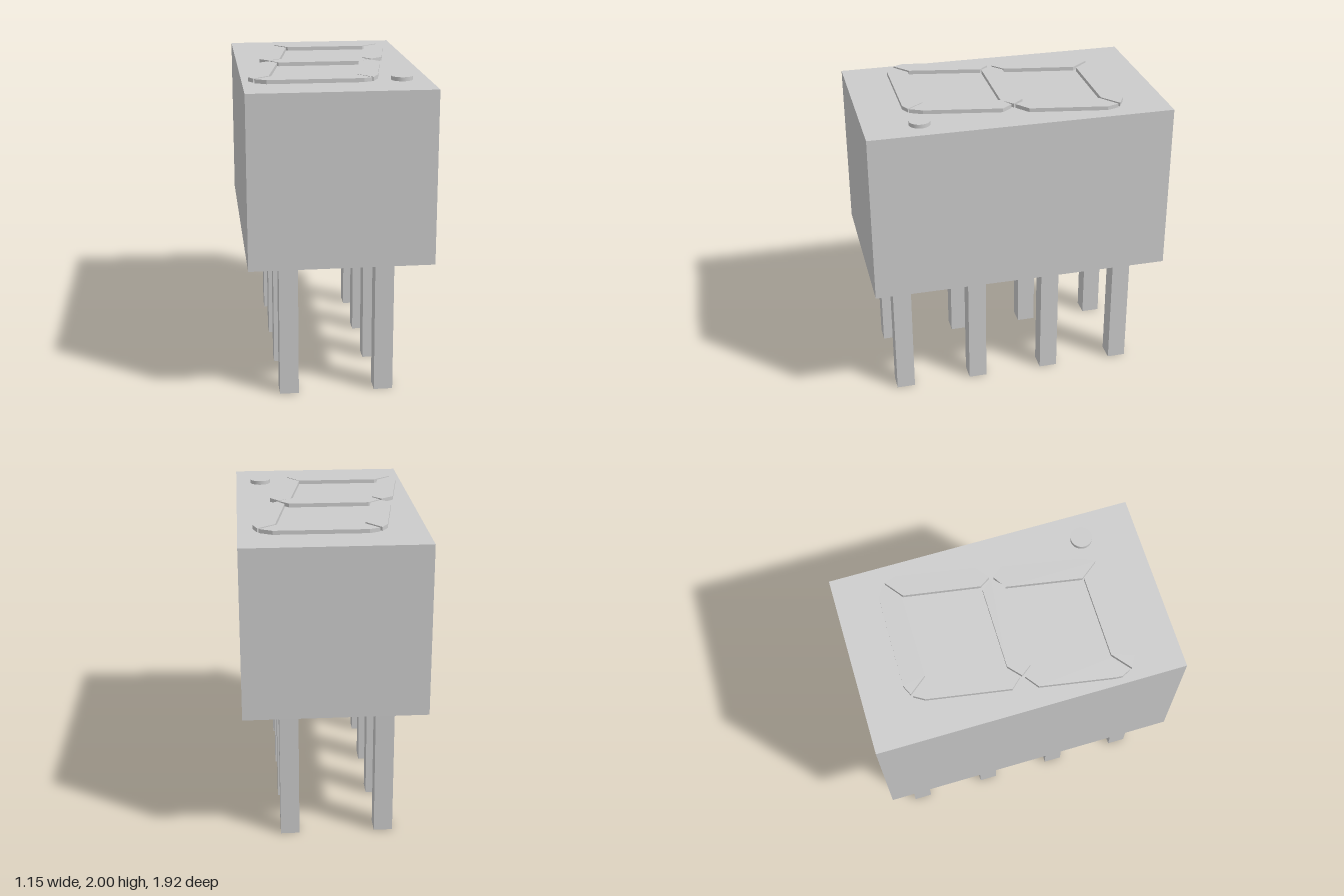
import * as THREE from 'three';

const material = new THREE.MeshStandardMaterial({ color: 0xcccccc });

function add(parent, name, geometry, x = 0, y = 0, z = 0) {
  const mesh = new THREE.Mesh(geometry, material);
  mesh.name = name;
  mesh.position.set(x, y, z);
  parent.add(mesh);
  return mesh;
}

// Outlines of the raised segments as [x, z] corners
const SEGMENTS = {
  topSegment: [[-0.285, -0.67], [-0.22, -0.7], [0.365, -0.695], [0.445, -0.65], [0.333, -0.56], [-0.195, -0.56]],
  upperLeftSegment: [[-0.3, -0.66], [-0.21, -0.545], [-0.29, -0.085], [-0.365, -0.02], [-0.425, -0.085], [-0.34, -0.595]],
  upperRightSegment: [[0.455, -0.635], [0.48, -0.56], [0.395, -0.08], [0.31, -0.013], [0.267, -0.08], [0.343, -0.55]],
  middleSegment: [[-0.36, -0.005], [-0.28, -0.075], [0.237, -0.075], [0.3, -0.003], [0.227, 0.063], [-0.308, 0.063]],
  lowerLeftSegment: [[-0.373, 0.01], [-0.318, 0.07], [-0.405, 0.533], [-0.507, 0.62], [-0.535, 0.565], [-0.532, 0.523], [-0.455, 0.07]],
  lowerRightSegment: [[0.303, 0.012], [0.356, 0.08], [0.267, 0.565], [0.227, 0.645], [0.14, 0.533], [0.22, 0.063]],
  bottomSegment: [[-0.5, 0.635], [-0.385, 0.543], [0.14, 0.543], [0.22, 0.65], [0.165, 0.677], [-0.43, 0.677]],
};

export function createModel() {
  const model = new THREE.Group();
  model.name = 'sevenSegmentDisplay';

  const width = 1.15, depth = 1.92;
  const bottom = 0.885, seam = 0.915, top = 1.975, rise = 0.025;

  // Housing and the thin plate closing its underside
  add(model, 'housing', new THREE.BoxGeometry(width, top - seam, depth), 0, (top + seam) / 2, 0);
  add(model, 'basePlate', new THREE.BoxGeometry(width, seam - bottom, depth), 0, (bottom + seam) / 2, 0);

  // Raised slanted segments on the top face
  const digit = new THREE.Group();
  digit.name = 'digit';
  model.add(digit);
  for (const [name, corners] of Object.entries(SEGMENTS)) {
    const shape = new THREE.Shape(corners.map(([x, z]) => new THREE.Vector2(x, -z)));
    const geometry = new THREE.ExtrudeGeometry(shape, { depth: rise, bevelEnabled: false });
    geometry.rotateX(-Math.PI / 2);
    add(digit, name, geometry, 0, top, 0);
  }

  // Decimal point
  add(model, 'decimalPoint', new THREE.CylinderGeometry(0.067, 0.067, rise, 40), 0.408, top + rise / 2, 0.612);

  // Two rows of four square pins
  const pins = new THREE.Group();
  pins.name = 'pins';
  model.add(pins);
  const pinGeometry = new THREE.BoxGeometry(0.12, bottom, 0.12);
  for (const x of [-0.32, 0.285]) {
    for (let i = 0; i < 4; i++) {
      add(pins, 'pin', pinGeometry, x, bottom / 2, 0.76 - i * 0.505);
    }
  }

  return model;
}
